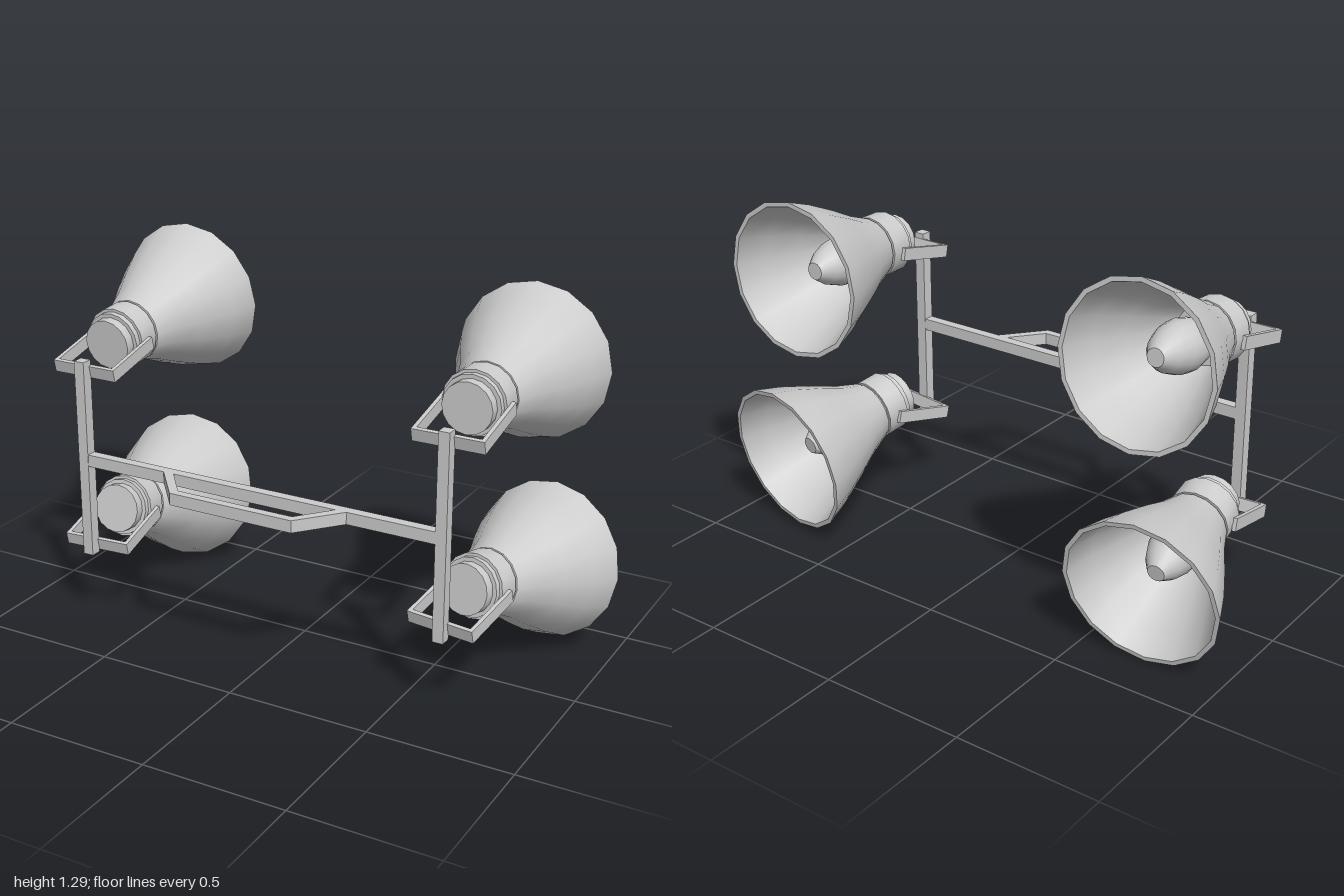
import * as THREE from 'three';
import { toCreasedNormals } from 'three/addons/utils/BufferGeometryUtils.js';

const grey = new THREE.MeshStandardMaterial({ color: 0xcccccc });

function box(name, size, pos, parent) {
  const mesh = new THREE.Mesh(new THREE.BoxGeometry(...size), grey);
  mesh.name = name;
  mesh.position.set(...pos);
  parent.add(mesh);
  return mesh;
}

// Turned part: profile is [radius, distance ahead of the pivot]; ahead is -z
function turned(name, profile, parent) {
  const points = profile.map(([r, d]) => new THREE.Vector2(r, d));
  const lathe = new THREE.LatheGeometry(points, 16).rotateX(-Math.PI / 2);
  const mesh = new THREE.Mesh(toCreasedNormals(lathe, 0.6), grey);
  mesh.name = name;
  parent.add(mesh);
}

// One horn speaker with its U bracket; angles in degrees
function speaker(name, pos, pitch, yaw) {
  const group = new THREE.Group();
  group.name = name;
  group.position.set(...pos);
  group.rotation.y = -THREE.MathUtils.degToRad(yaw);

  const horn = new THREE.Group();
  horn.name = 'horn';
  horn.rotation.x = THREE.MathUtils.degToRad(pitch);
  group.add(horn);

  // Stepped driver housing with a groove before the bell
  turned('driverHousing', [
    [0, -0.095], [0.086, -0.095], [0.086, -0.06], [0.1, -0.06], [0.1, -0.04],
    [0.11, -0.04], [0.11, 0.043], [0.1, 0.043], [0.1, 0.055], [0, 0.055],
  ], horn);

  // Thin-walled bell, outside then inside
  turned('bell', [
    [0.095, 0.05], [0.11, 0.052], [0.143, 0.14], [0.188, 0.23], [0.237, 0.34], [0.272, 0.44],
    [0.256, 0.44], [0.222, 0.34], [0.173, 0.23], [0.128, 0.14], [0.095, 0.06], [0, 0.06],
  ], horn);

  // Blunt bullet inside the bell
  turned('bullet', [
    [0.05, 0.06], [0.075, 0.12], [0.086, 0.18], [0.08, 0.23], [0.06, 0.285], [0.03, 0.33], [0, 0.33],
  ], horn);

  const bracket = new THREE.Group();
  bracket.name = 'bracket';
  bracket.position.y = -0.01;
  bracket.rotation.x = THREE.MathUtils.degToRad(13);
  group.add(bracket);
  for (const s of [-1, 1]) box('bracketArm', [0.014, 0.044, 0.24], [s * 0.115, 0, 0.115], bracket);
  box('bracketBase', [0.244, 0.044, 0.014], [0, 0, 0.228], bracket);
  return group;
}

export function createModel() {
  const model = new THREE.Group();
  model.name = 'hornSpeakerRack';

  // Frame: two posts and a crossbar
  for (const x of [-0.695, 0.645]) box('post', [0.038, 0.705, 0.04], [x, 0.6125, 0.284], model);
  box('crossbar', [1.34, 0.042, 0.036], [-0.025, 0.614, 0.284], model);

  // Angled carrying handle
  const outline = [
    [-0.37, 0.3], [-0.25, 0.445], [0.2, 0.445], [0.32, 0.3],
    [0.28, 0.3], [0.187, 0.415], [-0.237, 0.415], [-0.33, 0.3],
  ];
  const shape = new THREE.Shape(outline.map(([x, z]) => new THREE.Vector2(x, z)));
  const geometry = new THREE.ExtrudeGeometry(shape, { depth: 0.042, bevelEnabled: false });
  const handle = new THREE.Mesh(geometry.rotateX(Math.PI / 2), grey);
  handle.name = 'handle';
  handle.position.y = 0.635;
  model.add(handle);

  // Four horns, each aimed a little differently
  model.add(
    speaker('upperRightSpeaker', [-0.7, 0.985, 0.04], 4.5, 0),
    speaker('upperLeftSpeaker', [0.642, 0.985, 0.04], 0, 0),
    speaker('lowerRightSpeaker', [-0.7, 0.352, 0.04], -11, -4.5),
    speaker('lowerLeftSpeaker', [0.668, 0.36, 0.04], -9, 8.5),
  );
  return model;
}
